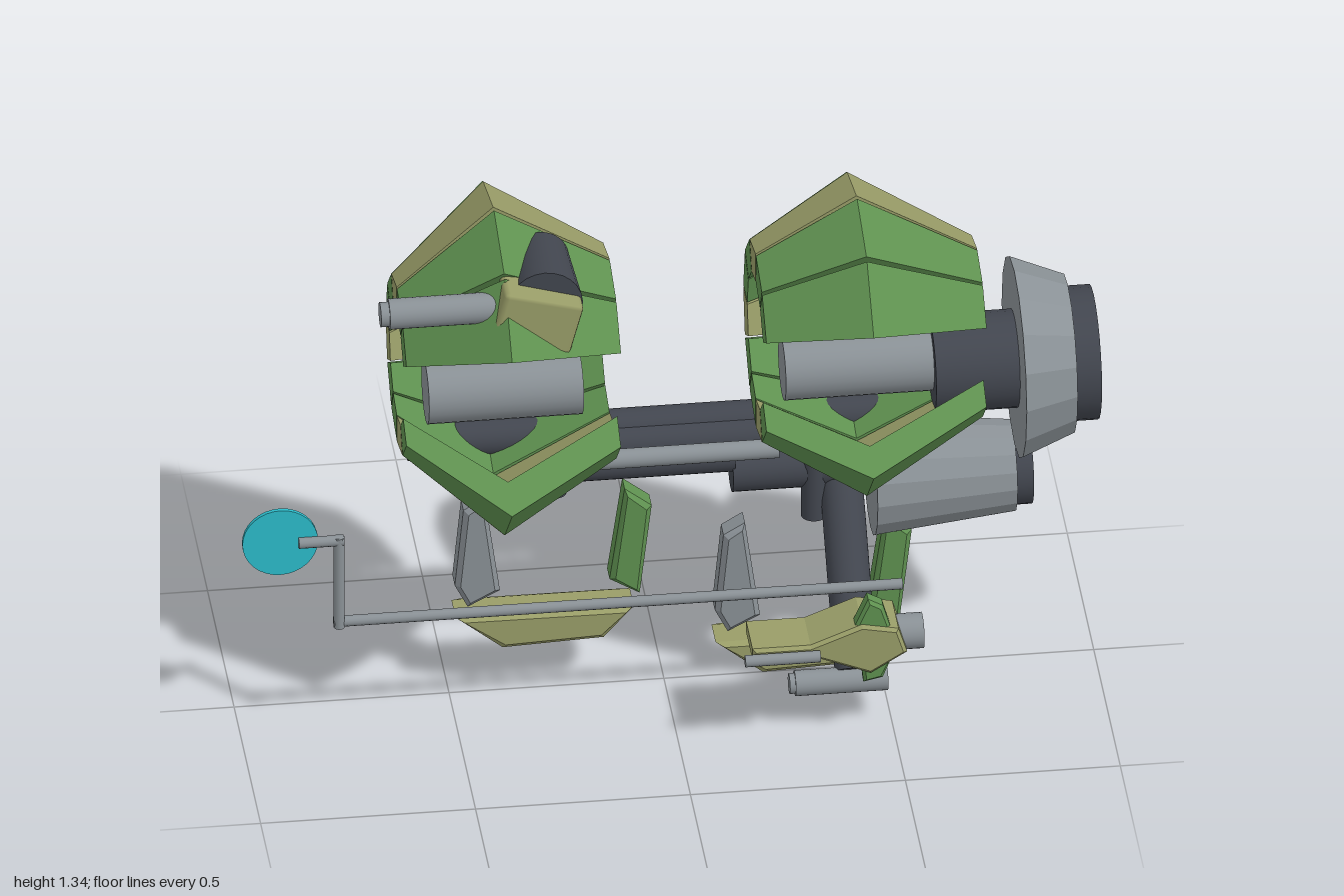
import * as THREE from 'three';
import { RoundedBoxGeometry } from 'three/addons/geometries/RoundedBoxGeometry.js';

const paint = (name, color) => Object.assign(new THREE.MeshStandardMaterial({ color }), { name });

export function createModel() {
  const model = new THREE.Group();
  model.name = 'model';
  const green = paint('green', 0x5f9150);
  const olive = paint('olive', 0x999d68);
  const steel = paint('steel', 0x8a9196);
  const dark = paint('darkMetal', 0x42464f);
  const cyan = paint('cyan', 0x2cbccb);

  const add = (name, geometry, material, parent = model) => {
    const mesh = new THREE.Mesh(geometry, material);
    mesh.name = name;
    parent.add(mesh);
    return mesh;
  };

  const flat = (geometry) => {
    const g = geometry.index ? geometry.toNonIndexed() : geometry;
    g.computeVertexNormals();
    return g;
  };

  // Round bar or cone from point a to point b
  const bar = (name, material, a, b, ra, rb = ra, sides = 24, faceted = false) => {
    const from = new THREE.Vector3(...a), to = new THREE.Vector3(...b);
    const dir = to.clone().sub(from);
    const g = new THREE.CylinderGeometry(rb, ra, dir.length(), sides);
    const mesh = add(name, faceted ? flat(g) : g, material);
    mesh.position.copy(from).add(to).multiplyScalar(0.5);
    mesh.quaternion.setFromUnitVectors(new THREE.Vector3(0, 1, 0), dir.normalize());
    return mesh;
  };

  // Bar along x
  const barX = (name, material, x0, x1, y, z, ra, rb = ra, sides = 24, faceted = false) =>
    bar(name, material, [x0, y, z], [x1, y, z], ra, rb, sides, faceted);

  // Bevelled plate with its outline in xy and its depth between z0 and z1
  const plate = (name, material, points, z0, z1, parent = model, bevel = 0.012) => {
    const shape = new THREE.Shape(points.map((p) => new THREE.Vector2(...p)));
    const g = new THREE.ExtrudeGeometry(shape, {
      depth: z1 - z0 - 2 * bevel, bevelEnabled: bevel > 0, bevelSize: bevel,
      bevelThickness: bevel, bevelOffset: -bevel, bevelSegments: 1,
    });
    g.translate(0, 0, z0 + bevel);
    return add(name, g, material, parent);
  };

  // One armour segment: a roof-shaped profile of (x, radius) swept from angle a0 to a1
  const segmentGeometry = (profile, a0, a1) => {
    const section = (a) => profile.map(([x, r]) => [x, 0.93 + r * Math.sin(a), 0.03 - r * Math.cos(a)]);
    const p = section(a0), q = section(a1), out = [];
    const quad = (a, b, c, d) => out.push(...a, ...b, ...c, ...a, ...c, ...d);
    for (let i = 0; i < 6; i++) {
      const j = (i + 1) % 6;
      quad(q[i], q[j], p[j], p[i]);
    }
    quad(p[0], p[1], p[4], p[5]);
    quad(p[1], p[2], p[3], p[4]);
    quad(q[0], q[5], q[4], q[1]);
    quad(q[1], q[4], q[3], q[2]);
    const g = new THREE.BufferGeometry();
    g.setAttribute('position', new THREE.Float32BufferAttribute(out, 3));
    g.computeVertexNormals();
    return g;
  };

  // Ten armour segments around each drum, open at the front
  const armour = (name, profile) => {
    const group = new THREE.Group();
    group.name = name;
    model.add(group);
    for (let i = 0; i < 10; i++) {
      const start = -150 + i * 30;
      const rad = THREE.MathUtils.degToRad;
      const material = [1, 4, 7].includes(i) ? olive : green;
      add('armourSegment', segmentGeometry(profile, rad(start + 1), rad(start + 29)), material, group);
    }
  };
  armour('rightArmour', [[-0.625, 0.21], [-0.4, 0.41], [-0.13, 0.25], [-0.13, 0.17], [-0.4, 0.32], [-0.625, 0.14]]);
  armour('leftArmour', [[0.21, 0.235], [0.445, 0.375], [0.725, 0.21], [0.725, 0.14], [0.445, 0.29], [0.21, 0.16]]);

  // Drums inside the armour
  barX('rightDrum', steel, -0.555, -0.195, 0.83, 0, 0.075);
  barX('leftDrum', steel, 0.275, 0.625, 0.83, 0, 0.075);

  // Upper engine
  barX('engineShaft', dark, 0.62, 0.82, 0.815, 0, 0.115);
  barX('engineNozzle', steel, 0.815, 0.94, 0.818, 0, 0.237, 0.187, 16, true);
  barX('engineCap', dark, 0.93, 1, 0.818, 0, 0.157);

  // Lower engine
  barX('lowerShaft', dark, 0.165, 0.5, 0.513, -0.08, 0.055);
  barX('lowerNozzle', steel, 0.49, 0.82, 0.47, -0.08, 0.143, 0.108, 16, true);
  barX('lowerCap', dark, 0.81, 0.86, 0.47, -0.08, 0.092);

  // Frame tubes and posts
  barX('rearAxle', dark, -0.59, 0.68, 0.652, -0.07, 0.045);
  barX('middleTube', dark, -0.2, 0.28, 0.63, -0.04, 0.046);
  barX('frontRod', steel, -0.17, 0.26, 0.645, 0.052, 0.023);
  barX('lowerTube', dark, -0.46, 0.17, 0.56, -0.07, 0.042);
  bar('rightPost', dark, [-0.25, 0.5, -0.05], [-0.25, 0.64, -0.05], 0.03);
  bar('leftPost', dark, [0.355, 0.39, -0.05], [0.355, 0.66, -0.05], 0.03);

  // Diagonal leg and its cross pin
  bar('diagonalLeg', dark, [0.42, 0.47, -0.06], [0.42, 0.13, 0.22], 0.05);
  barX('legPin', steel, 0.275, 0.49, 0.115, 0.235, 0.03);
  barX('legPinTip', steel, 0.262, 0.28, 0.115, 0.235, 0.024);

  // Two landing skids, the left one set lower
  for (const [name, x, y] of [['rightSkid', 0, 0], ['leftSkid', 0.605, -0.115]]) {
    const skid = new THREE.Group();
    skid.name = name;
    skid.position.set(x, y, 0);
    model.add(skid);
    plate('outerStrut', steel, [[-0.485, 0.285], [-0.455, 0.225], [-0.38, 0.265], [-0.415, 0.52], [-0.465, 0.49]], -0.07, 0, skid);
    plate('innerStrut', green, [[-0.125, 0.275], [-0.055, 0.232], [-0.027, 0.47], [-0.09, 0.52]], -0.07, 0, skid);
    plate('foot', olive, [[-0.485, 0.205], [-0.375, 0.115], [-0.14, 0.125], [-0.07, 0.205]], -0.09, 0.015, skid, 0.015);
  }

  // Antenna arm with a round dish
  barX('antennaRod', steel, -0.788, 0.535, 0.32, 0.16, 0.013, 0.013, 12);
  bar('antennaUpright', steel, [-0.776, 0.308, 0.165], [-0.776, 0.555, 0.165], 0.013, 0.013, 12);
  barX('antennaTip', steel, -0.87, -0.765, 0.545, 0.165, 0.013, 0.013, 12);
  bar('antennaDish', cyan, [-0.912, 0.545, 0.148], [-0.912, 0.545, 0.158], 0.088, 0.088, 32);

  // Lower gun with fins
  plate('gunBody', olive, [[0.165, 0.25], [0.3, 0.25], [0.44, 0.193], [0.525, 0.245], [0.505, 0.31],
    [0.42, 0.327], [0.3, 0.28], [0.165, 0.28]], 0.205, 0.34, model, 0.008);
  barX('gunBarrel', steel, 0.145, 0.32, 0.262, 0.355, 0.014, 0.014, 12);
  barX('gunTail', steel, 0.5, 0.568, 0.262, 0.272, 0.042);
  plate('upperFin', green, [[0.4, 0.31], [0.49, 0.3], [0.47, 0.37], [0.435, 0.39]], 0.287, 0.332, model, 0.008);
  plate('lowerFin', green, [[0.42, 0.21], [0.425, 0.16], [0.47, 0.17], [0.49, 0.22]], 0.292, 0.325, model, 0.008);

  // Upper gun on the right armour
  bar('turretBase', dark, [-0.295, 1.215, 0.05], [-0.305, 1.215, 0.255], 0.066, 0.085);
  const block = add('turretBlock', new RoundedBoxGeometry(0.19, 0.135, 0.1, 1, 0.012), olive);
  block.position.set(-0.33, 1.19, 0.255);
  block.rotation.z = -0.26;
  barX('turretBarrel', steel, -0.67, -0.4, 1.205, 0.238, 0.036);
  barX('turretMuzzle', steel, -0.69, -0.66, 1.205, 0.238, 0.029);

  return model;
}
